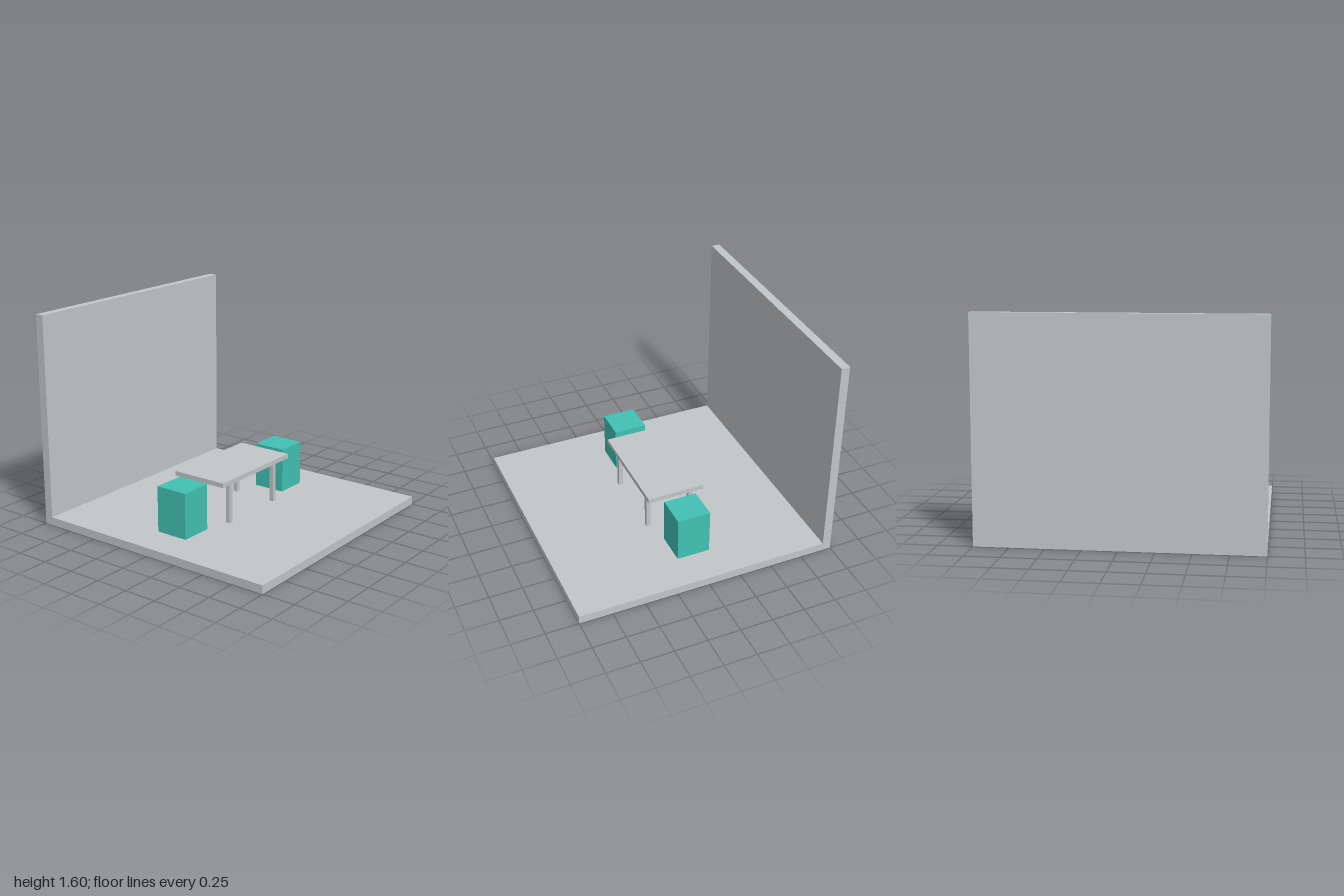
import * as THREE from 'three';

const grey = new THREE.MeshStandardMaterial({ color: 0xc2c6c8 });
grey.name = 'light grey';
const teal = new THREE.MeshStandardMaterial({ color: 0x41c1b3 });
teal.name = 'teal';

// Box given by its size, centre in x and z, and the height of its underside
function box(name, material, [w, h, d], x, bottom, z) {
  const mesh = new THREE.Mesh(new THREE.BoxGeometry(w, h, d), material);
  mesh.name = name;
  mesh.position.set(x, bottom + h / 2, z);
  return mesh;
}

export function createModel() {
  const model = new THREE.Group();
  model.name = 'diningCorner';
  const floorTop = 0.0625;
  const tableUnder = 0.38;

  // Floor slab and the back wall standing on its rear edge
  model.add(box('floor', grey, [2, floorTop, 2], 0, 0, 0));
  model.add(box('backWall', grey, [2, 1.6 - floorTop, 0.065], 0, floorTop, -0.9675));

  // Table with four square legs
  const table = new THREE.Group();
  table.name = 'table';
  table.add(box('tableTop', grey, [0.82, 0.036, 0.446], 0, tableUnder, -0.001));
  for (const sx of [-1, 1]) {
    for (const sz of [-1, 1]) {
      table.add(box('tableLeg', grey, [0.033, tableUnder - floorTop, 0.033], sx * 0.276, floorTop, sz * 0.174));
    }
  }
  model.add(table);

  // Block stools at both ends of the table
  for (const [name, x] of [['rightStool', -0.602], ['leftStool', 0.6]]) {
    model.add(box(name, teal, [0.25, 0.412 - floorTop, 0.254], x, floorTop, 0));
  }
  return model;
}
